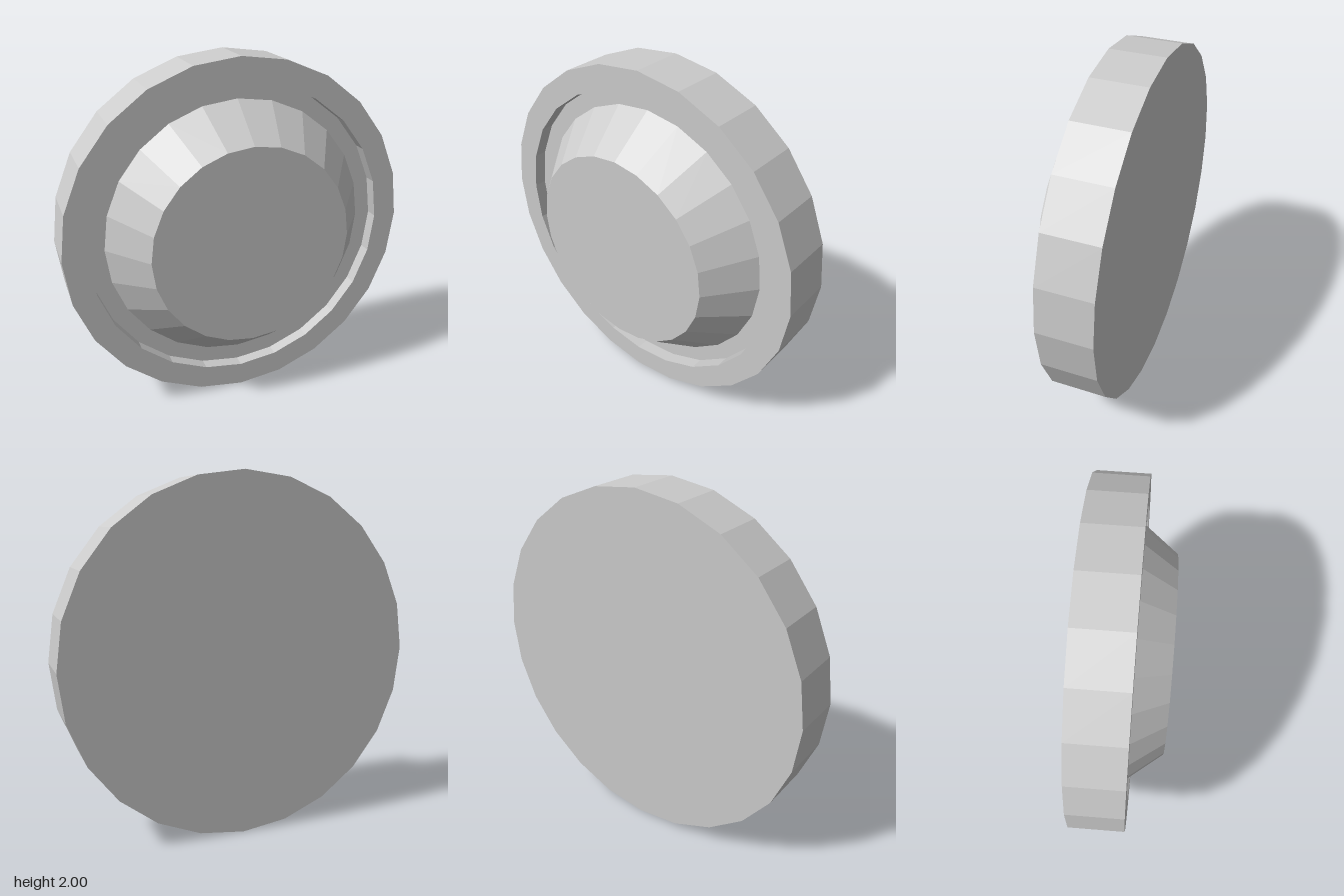
import * as THREE from 'three';

const SIDES = 24;
const BACK = -0.24, RIM = 0.06, FLOOR = -0.013, FRONT = 0.24;

export function createModel() {
  const group = new THREE.Group();
  const material = new THREE.MeshStandardMaterial({ color: 0xcccccc, flatShading: true });

  // Turn a profile of [radius, z] points around the z axis
  const addTurned = (name, profile, x = 0) => {
    const points = profile.map(([r, z]) => new THREE.Vector2(r, z));
    const geometry = new THREE.LatheGeometry(points, SIDES).rotateX(Math.PI / 2);
    const mesh = new THREE.Mesh(geometry, material);
    mesh.name = name;
    mesh.position.set(x, 1, 0);
    group.add(mesh);
  };

  // Flat-backed dish with a raised rim and a recessed floor
  addTurned('rimmedDish', [
    [0, BACK], [1, BACK], [1, RIM], [0.862, RIM], [0.862, FLOOR], [0, FLOOR],
  ]);

  // Tapered button rising from the recess
  addTurned('taperedButton', [[0.767, FLOOR], [0.571, FRONT], [0, FRONT]], 0.005);

  return group;
}
